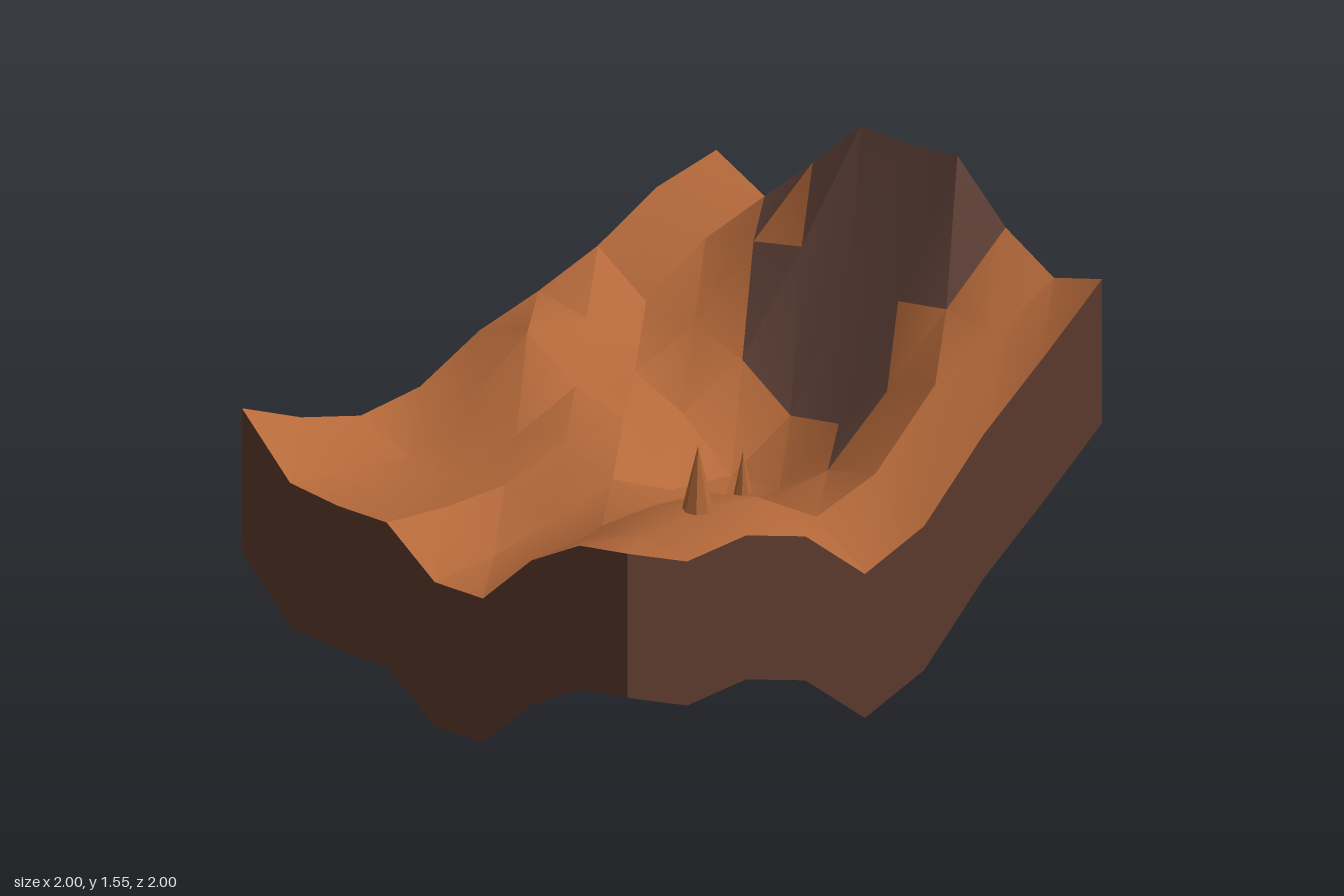
import * as THREE from 'three';
import { toCreasedNormals } from 'three/addons/utils/BufferGeometryUtils.js';

// Ground heights: one row per z from back (-1) to front (1), columns from x = -1 to 1
const HEIGHTS = [
  [0.775, 0.66, 0.585, 0.61, 0.735, 0.80, 0.885, 1.02, 1.075],
  [0.60, 0.56, 0.535, 0.64, 0.83, 0.80, 0.78, 0.93, 1.005],
  [0.615, 0.575, 0.555, 0.63, 0.73, 0.70, 0.79, 1.02, 1.23],
  [0.655, 0.63, 0.63, 0.70, 0.71, 0.65, 0.765, 1.10, 1.465],
  [0.535, 0.55, 0.60, 0.67, 0.55, 0.52, 0.66, 1.07, 1.495],
  [0.575, 0.62, 0.68, 0.68, 0.56, 0.57, 0.73, 1.10, 1.555],
  [0.815, 0.82, 0.85, 0.82, 0.71, 0.74, 0.95, 1.17, 1.39],
  [0.97, 0.93, 0.94, 0.905, 0.75, 0.83, 1.075, 1.17, 1.305],
  [1.04, 0.93, 0.945, 0.86, 0.64, 0.735, 0.99, 1.19, 1.40],
];
const N = 8;
const STEP = 2 / N;
const SKIRT = 0.53;

// Steep rocky cells as 'column,row': both, upper (back left) or lower (front right) triangle
const ROCK = {
  '7,1': 'lower', '6,2': 'lower', '7,2': 'lower',
  '6,3': 'both', '7,3': 'both', '6,4': 'both', '7,4': 'both',
  '5,5': 'lower', '6,4 ': 'both', '6,5': 'upper', '7,5': 'both',
};

const point = (i, j, drop = 0) => [-1 + i * STEP, HEIGHTS[j][i] - drop, -1 + j * STEP];

function makeGeometry(positions) {
  const g = new THREE.BufferGeometry();
  g.setAttribute('position', new THREE.Float32BufferAttribute(positions, 3));
  g.computeVertexNormals();
  return g;
}

export function createModel() {
  const model = new THREE.Group();
  model.name = 'terrainTile';

  const material = (name, color) => {
    const m = new THREE.MeshStandardMaterial({ color, side: THREE.DoubleSide });
    m.name = name;
    return m;
  };
  const clay = material('orange clay', 0xb5693a);
  const rock = material('brown rock', 0x63443a);
  const earth = material('dark earth', 0x5d3b2d);

  const add = (name, geometry, mat) => {
    const mesh = new THREE.Mesh(geometry, mat);
    mesh.name = name;
    model.add(mesh);
    return mesh;
  };

  // Ground surface: clay triangles first, then rock, sharing smooth normals
  const clayTris = [];
  const rockTris = [];
  for (let j = 0; j < N; j++) {
    for (let i = 0; i < N; i++) {
      const kind = ROCK[`${i},${j}`];
      const a = point(i, j);
      const b = point(i, j + 1);
      const c = point(i + 1, j + 1);
      const d = point(i + 1, j);
      const upper = kind === 'both' || kind === 'upper' ? rockTris : clayTris;
      const lower = kind === 'both' || kind === 'lower' ? rockTris : clayTris;
      upper.push(...a, ...b, ...d);
      lower.push(...b, ...c, ...d);
    }
  }
  const ground = toCreasedNormals(makeGeometry([...clayTris, ...rockTris]), 0.5);
  ground.addGroup(0, clayTris.length / 3, 0);
  ground.addGroup(clayTris.length / 3, rockTris.length / 3, 1);
  add('ground', ground, [clay, rock]);

  // Four side walls that follow the ground edge at a constant depth
  const walls = {
    frontWall: (k) => [k, N],
    rightWall: (k) => [N, N - k],
    backWall: (k) => [N - k, 0],
    leftWall: (k) => [0, k],
  };
  for (const [name, at] of Object.entries(walls)) {
    const tris = [];
    for (let k = 0; k < N; k++) {
      const a = point(...at(k));
      const b = point(...at(k + 1));
      const a0 = point(...at(k), SKIRT);
      const b0 = point(...at(k + 1), SKIRT);
      tris.push(...a0, ...b0, ...b, ...a0, ...b, ...a);
    }
    add(name, makeGeometry(tris), earth);
  }

  // Faceted stone spikes standing on the ground
  const spike = (name, x, z, base, radius, height) => {
    const cone = new THREE.ConeGeometry(radius, height, 8).toNonIndexed();
    cone.computeVertexNormals();
    add(name, cone, clay).position.set(x, base + height / 2, z);
  };
  spike('largeSpike', -0.5, 0.75, 0.945, 0.052, 0.23);
  spike('smallSpike', 0.165, 0.165, 0.485, 0.042, 0.22);

  return model;
}
